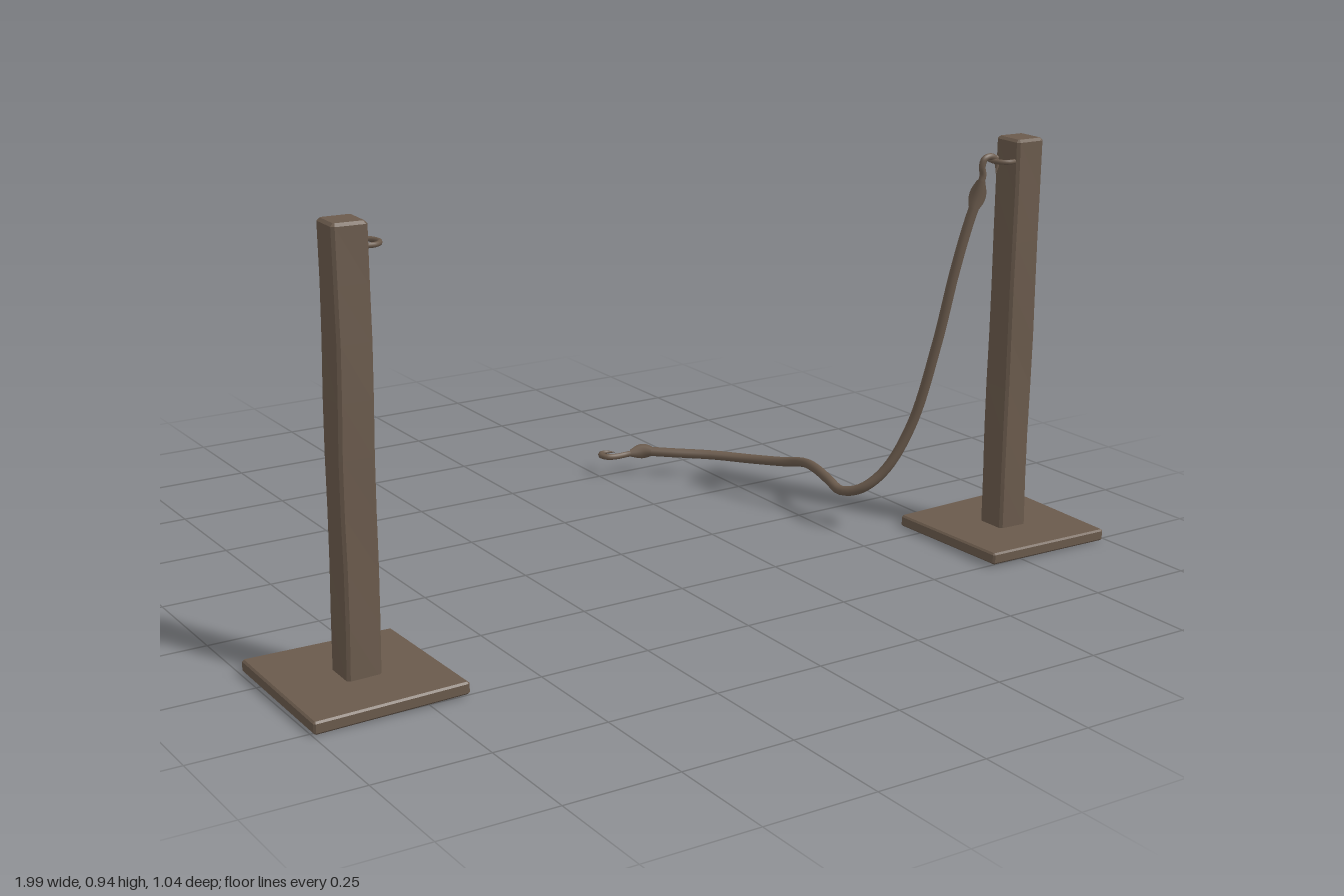
import * as THREE from 'three';

const V = (p) => new THREE.Vector3(...p);
const curve = (pts) => new THREE.CatmullRomCurve3(pts.map(V));

// Roughly hewn, chamfered block standing upright, centred on its own origin
function hewnBlock(w, h, d, chamfer, wobble, steps, seed) {
  const s = new THREE.Shape();
  const a = w / 2, b = d / 2, c = chamfer;
  s.moveTo(-a + c, -b);
  s.lineTo(a - c, -b);
  s.lineTo(a, -b + c);
  s.lineTo(a, b - c);
  s.lineTo(a - c, b);
  s.lineTo(-a + c, b);
  s.lineTo(-a, b - c);
  s.lineTo(-a, -b + c);
  s.closePath();
  const g = new THREE.ExtrudeGeometry(s, {
    depth: h - 2 * c, steps, bevelEnabled: true, bevelSegments: 1,
    bevelSize: c, bevelThickness: c, bevelOffset: -c,
  });
  g.rotateX(-Math.PI / 2);
  g.translate(0, c - h / 2, 0);
  const p = g.attributes.position;
  for (let i = 0; i < p.count; i++) {
    const x = p.getX(i), y = p.getY(i), z = p.getZ(i);
    p.setXYZ(i,
      x + wobble * Math.sin(y * 13 + z * 19 + seed),
      y + wobble * Math.sin(x * 11 + z * 9 + seed * 2),
      z + wobble * Math.sin(y * 11 + x * 17 + seed * 3));
  }
  g.computeVertexNormals();
  return g;
}

// Tube whose radius follows a rule along its length
function taperedTube(path, segments, radius, sides, rule) {
  const g = new THREE.TubeGeometry(path, segments, radius, sides);
  const p = g.attributes.position, v = new THREE.Vector3();
  for (let i = 0; i < p.count; i++) {
    const t = Math.floor(i / (sides + 1)) / segments;
    const c = path.getPointAt(t);
    v.fromBufferAttribute(p, i).sub(c).multiplyScalar(rule(t)).add(c);
    p.setXYZ(i, v.x, v.y, v.z);
  }
  return g;
}

export function createModel() {
  const model = new THREE.Group();
  const wood = new THREE.MeshStandardMaterial({ color: 0x6a5a4c });
  wood.name = 'weathered brown';

  const add = (parent, name, geometry, pos = [0, 0, 0]) => {
    const m = new THREE.Mesh(geometry, wood);
    m.name = name;
    m.position.set(...pos);
    parent.add(m);
    return m;
  };

  // Two stands: base plate, post and an eye staple on the inner face
  for (const side of [-1, 1]) {
    const stand = new THREE.Group();
    stand.name = side < 0 ? 'rightStand' : 'leftStand';
    const base = hewnBlock(0.332, 0.027, side < 0 ? 0.341 : 0.328, 0.004, 0.003, 1, side);
    add(stand, 'base', base, [side < 0 ? -0.834 : 0.827, 0.02, side < 0 ? 0.342 : 0.35]);
    const post = hewnBlock(0.075, 0.915, 0.075, 0.006, 0.0015, 8, side * 2);
    add(stand, 'post', post, [side * 0.828, 0.48, 0.348]);
    const staple = curve([
      [0.8, 0.888, 0.318], [0.775, 0.888, 0.316], [0.76, 0.888, 0.328],
      [0.755, 0.888, 0.345], [0.76, 0.888, 0.362],
      [0.775, 0.888, 0.374], [0.8, 0.888, 0.372],
    ].map(([x, y, z]) => [side * x, y, z]));
    add(stand, 'stapleRing', new THREE.TubeGeometry(staple, 24, 0.0055, 8));
    model.add(stand);
  }

  // Rope hanging from the left stand and trailing back along the ground
  const rope = new THREE.Group();
  rope.name = 'barrierRope';
  model.add(rope);
  const ropePath = curve([
    [0.723, 0.81, 0.335], [0.705, 0.74, 0.325], [0.685, 0.636, 0.311],
    [0.665, 0.468, 0.284], [0.635, 0.272, 0.242], [0.59, 0.16, 0.207],
    [0.55, 0.112, 0.172], [0.529, 0.096, 0.122], [0.535, 0.105, 0.068],
    [0.562, 0.104, -0.02], [0.585, 0.093, -0.1], [0.583, 0.073, -0.18],
    [0.55, 0.062, -0.265], [0.484, 0.062, -0.345], [0.404, 0.063, -0.414],
    [0.36, 0.064, -0.452],
  ]);
  add(rope, 'cord', new THREE.TubeGeometry(ropePath, 110, 0.0115, 10));

  // Bulging ferrules joining the cord to its hooks
  const bulge = (t) => 0.6 + 0.55 * Math.sin(Math.PI * Math.min(1, t * 1.1));
  const closed = (t) => (t === 0 || t === 1 ? 0.01 : bulge(t));
  const upperFerrule = curve([[0.714, 0.78, 0.331], [0.722, 0.812, 0.335], [0.728, 0.85, 0.34]]);
  const lowerFerrule = curve([[0.372, 0.064, -0.441], [0.352, 0.064, -0.458], [0.322, 0.058, -0.474]]);
  add(rope, 'upperFerrule', taperedTube(upperFerrule, 14, 0.0165, 10, closed));
  add(rope, 'lowerFerrule', taperedTube(lowerFerrule, 14, 0.0165, 10, closed));

  // Hooks, narrowing to a point
  const hookRule = (t) => (t > 0.6 ? Math.max(0.01, 1 - ((t - 0.6) / 0.4) ** 2) : 1);
  const upperHook = curve([
    [0.726, 0.835, 0.338], [0.731, 0.858, 0.34], [0.727, 0.878, 0.341],
    [0.732, 0.894, 0.342], [0.746, 0.899, 0.343], [0.761, 0.893, 0.344],
    [0.767, 0.878, 0.344], [0.764, 0.858, 0.344],
  ]);
  const lowerHook = curve([
    [0.335, 0.06, -0.468], [0.31, 0.056, -0.477], [0.286, 0.055, -0.479],
    [0.266, 0.055, -0.487], [0.259, 0.055, -0.503], [0.267, 0.055, -0.518],
    [0.284, 0.055, -0.522], [0.304, 0.055, -0.51],
  ]);
  add(rope, 'upperHook', taperedTube(upperHook, 36, 0.0075, 8, hookRule));
  add(rope, 'lowerHook', taperedTube(lowerHook, 36, 0.0075, 8, hookRule));

  return model;
}
